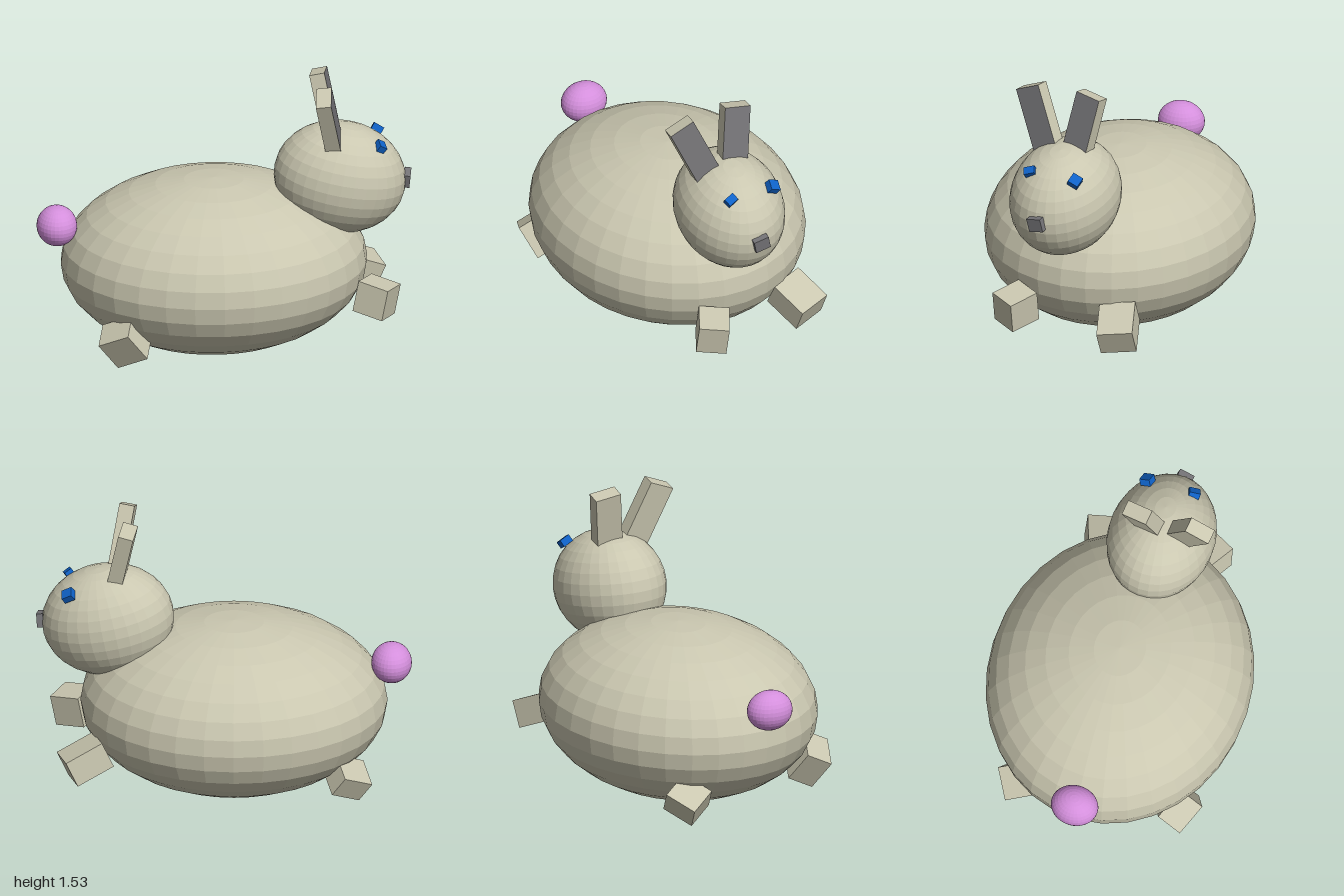
import * as THREE from 'three';

export function createModel() {
  const group = new THREE.Group();
  const mat = (name, color) => {
    const m = new THREE.MeshStandardMaterial({ color, flatShading: true });
    m.name = name;
    return m;
  };
  const cream = mat('cream', 0xcac7b0);
  const grey = mat('grey', 0x757477);
  const pink = mat('pink', 0xd48fdc);
  const blue = mat('blue', 0x0f62c8);

  const add = (name, geometry, material, [x, y, z]) => {
    const mesh = new THREE.Mesh(geometry, material);
    mesh.name = name;
    mesh.position.set(x, y, z);
    group.add(mesh);
    return mesh;
  };

  // Faceted ellipsoid from its centre and radii
  const ellipsoid = (name, center, radii, material) => {
    const g = new THREE.SphereGeometry(1, 32, 16).scale(...radii);
    return add(name, g, material, center);
  };

  // Tilted box: local x follows `a`, local y follows `b` squared up against it
  const tiltedBox = (name, center, size, a, b, material) => {
    const ex = new THREE.Vector3(...a).normalize();
    const ey = new THREE.Vector3(...b);
    ey.addScaledVector(ex, -ey.dot(ex)).normalize();
    const ez = new THREE.Vector3().crossVectors(ex, ey);
    const mesh = add(name, new THREE.BoxGeometry(...size), material, center);
    mesh.quaternion.setFromRotationMatrix(new THREE.Matrix4().makeBasis(ex, ey, ez));
    return mesh;
  };

  // Rounded masses
  ellipsoid('body', [-0.055, 0.476, 0], [0.817, 0.47, 0.705], cream);
  const head = ellipsoid('head', [0.615, 0.94, 0.03], [0.354, 0.302, 0.285], cream);
  head.rotation.set(0, -0.08, -0.2);
  ellipsoid('tail', [-0.893, 0.697, 0], [0.108, 0.108, 0.128], pink);

  // Ears: grey on the forward (+x) face only; placed by the centre of the tip
  const earMaterials = [grey, cream, cream, cream, cream, cream];
  const earLength = 0.46;
  [
    ['leftEar', [0.508, 1.498, 0.275], [-0.2, 1, 0.41]],
    ['rightEar', [0.508, 1.507, -0.075], [-0.2, 1, -0.18]],
  ].forEach(([name, tip, dir]) => {
    const up = new THREE.Vector3(...dir).normalize();
    const center = new THREE.Vector3(...tip).addScaledVector(up, -earLength / 2);
    const side = new THREE.Vector3(-0.16, 0, 1);
    const front = new THREE.Vector3().crossVectors(up, side);
    tiltedBox(name, center.toArray(), [0.082, earLength, 0.145],
      front.toArray(), dir, earMaterials);
  });

  // Eyes and nose
  tiltedBox('leftEye', [0.822, 1.152, 0.147], [0.045, 0.04, 0.06],
    [0.75, -0.5, -0.3], [0.45, 0.85, 0.2], blue);
  tiltedBox('rightEye', [0.826, 1.148, -0.113], [0.06, 0.04, 0.06],
    [0.8, -0.45, 0.2], [0.45, 0.8, -0.35], blue);
  tiltedBox('nose', [0.972, 0.928, 0.05], [0.035, 0.075, 0.085],
    [1, -0.1, 0.12], [0.05, 1, 0.22], grey);

  // Paws
  tiltedBox('frontLeftPaw', [0.793, 0.323, 0.243], [0.175, 0.172, 0.162],
    [0.148, -0.028, 0.089], [0.035, 0.17, 0], cream);
  tiltedBox('frontRightPaw', [0.735, 0.279, -0.323], [0.22, 0.15, 0.193],
    [0.2, -0.093, -0.065], [0.062, 0.137, 0], cream);
  tiltedBox('backLeftPaw', [-0.57, 0.215, 0.48], [0.188, 0.193, 0.15],
    [0.15, 0.08, 0.08], [-0.11, 0.15, 0.05], cream);
  tiltedBox('backRightPaw', [-0.66, 0.195, -0.37], [0.18, 0.132, 0.17],
    [0.14, 0.07, -0.08], [-0.07, 0.107, -0.03], cream);

  return group;
}
